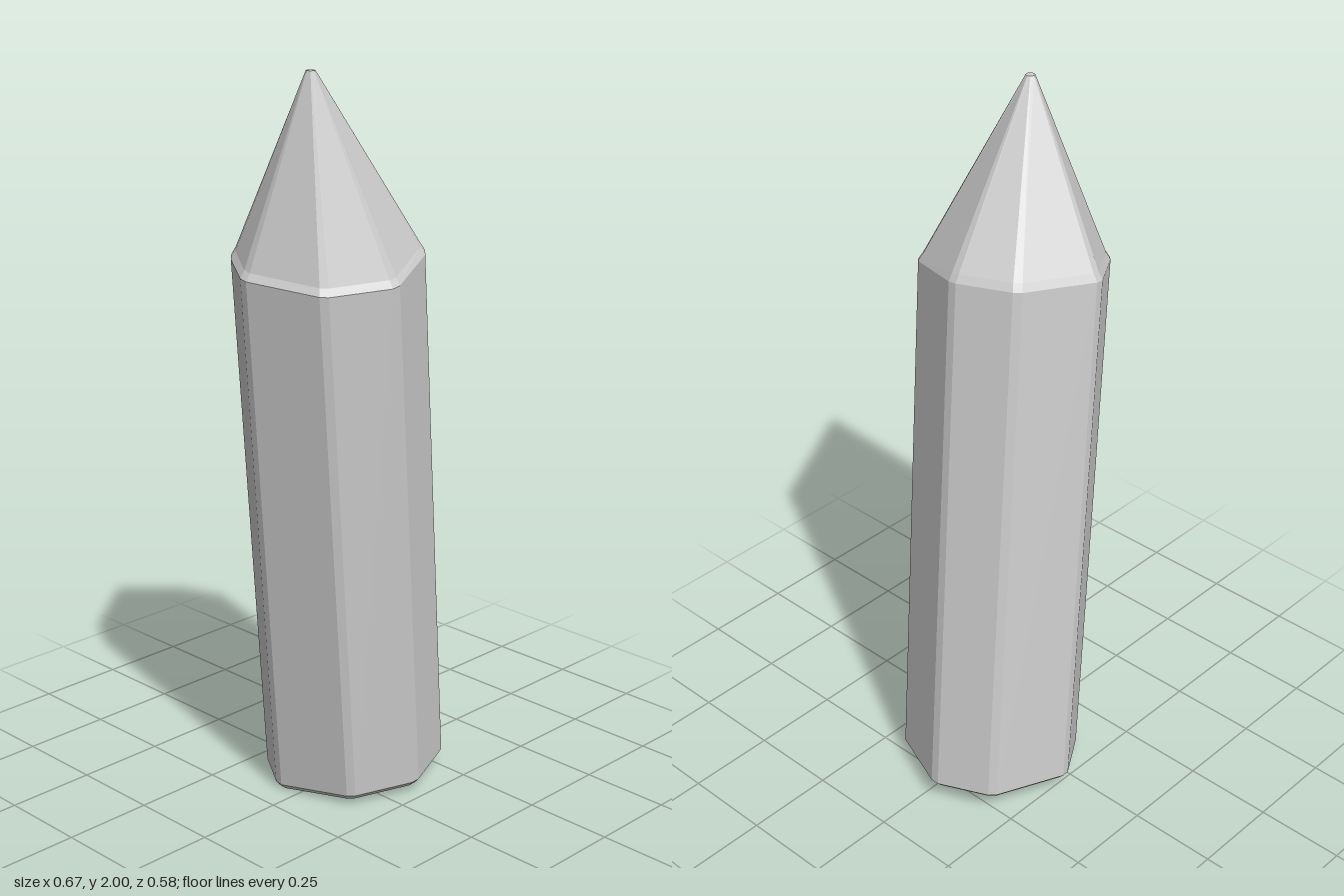
import * as THREE from 'three';

// Shoulder corners, counterclockwise from above: x, z, shoulder height, base height
const CORNERS = [
  [-0.337, -0.002, 1.49, 0.017],
  [-0.266, 0.218, 1.472, 0.035],
  [-0.083, 0.292, 1.478, 0.042],
  [0.094, 0.227, 1.53, 0.06],
  [0.177, 0.022, 1.572, 0.07],
  [0.113, -0.144, 1.578, 0.08],
  [-0.098, -0.234, 1.56, 0.075],
  [-0.268, -0.12, 1.52, 0.035],
];
const LEAN_X = -0.11, LEAN_Z = 0.0415; // sideways drift of the shaft per unit of height
const CHAMFER = 0.013;

// Cut each corner into two points, one towards each neighbour
function chamfer(corners) {
  const n = corners.length, out = [];
  corners.forEach((c, i) => {
    for (const d of [n - 1, 1]) {
      const o = corners[(i + d) % n];
      const t = CHAMFER / Math.hypot(o[0] - c[0], o[1] - c[1]);
      out.push(c.map((v, k) => v + (o[k] - v) * t));
    }
  });
  return out;
}

// Shrink a ring towards its centre and move it along y
function inset(ring, scale, dy) {
  const c = centre(ring);
  return ring.map((p) => new THREE.Vector3(
    c.x + (p.x - c.x) * scale, p.y + dy, c.z + (p.z - c.z) * scale));
}

function centre(ring) {
  return ring.reduce((s, p) => s.add(p), new THREE.Vector3()).divideScalar(ring.length);
}

// Join rings from bottom to top, optionally closing the ends with fans
function loft(name, rings, closeBottom, closeTop) {
  const pos = [];
  const tri = (...pts) => pts.forEach((p) => pos.push(p.x, p.y, p.z));
  const n = rings[0].length;
  const first = rings[0], last = rings[rings.length - 1];
  const low = centre(first), high = centre(last);
  for (let i = 0; i < n; i++) {
    const j = (i + 1) % n;
    for (let r = 0; r < rings.length - 1; r++) {
      const a = rings[r], b = rings[r + 1];
      tri(a[i], a[j], b[j]);
      tri(a[i], b[j], b[i]);
    }
    if (closeBottom) tri(low, first[j], first[i]);
    if (closeTop) tri(high, last[i], last[j]);
  }
  const geo = new THREE.BufferGeometry();
  geo.setAttribute('position', new THREE.Float32BufferAttribute(pos, 3));
  geo.computeVertexNormals();
  const mesh = new THREE.Mesh(geo,
    new THREE.MeshStandardMaterial({ color: 0xcccccc, flatShading: true }));
  mesh.name = name;
  return mesh;
}

export function createModel() {
  const points = chamfer(CORNERS);
  const shoulder = points.map(([x, z, top]) => new THREE.Vector3(x, top, z));
  const base = points.map(([x, z, top, bottom]) => new THREE.Vector3(
    x + LEAN_X * (bottom - top), bottom, z + LEAN_Z * (bottom - top)));
  const foot = inset(base, 0.95, -0.014);
  const collar = inset(shoulder, 0.95, 0.02);

  // Small blunt ring around the off-centre tip
  const mid = centre(shoulder);
  const tip = shoulder.map((p) => {
    const a = Math.atan2(p.z - mid.z, p.x - mid.x);
    return new THREE.Vector3(-0.167 + 0.012 * Math.cos(a), 2, 0.073 + 0.012 * Math.sin(a));
  });

  const group = new THREE.Group();
  group.name = 'crystal';
  group.add(
    loft('shaft', [foot, base, shoulder], true, false),
    loft('shoulderBevel', [shoulder, collar], false, false),
    loft('point', [collar, tip], false, true),
  );
  return group;
}
